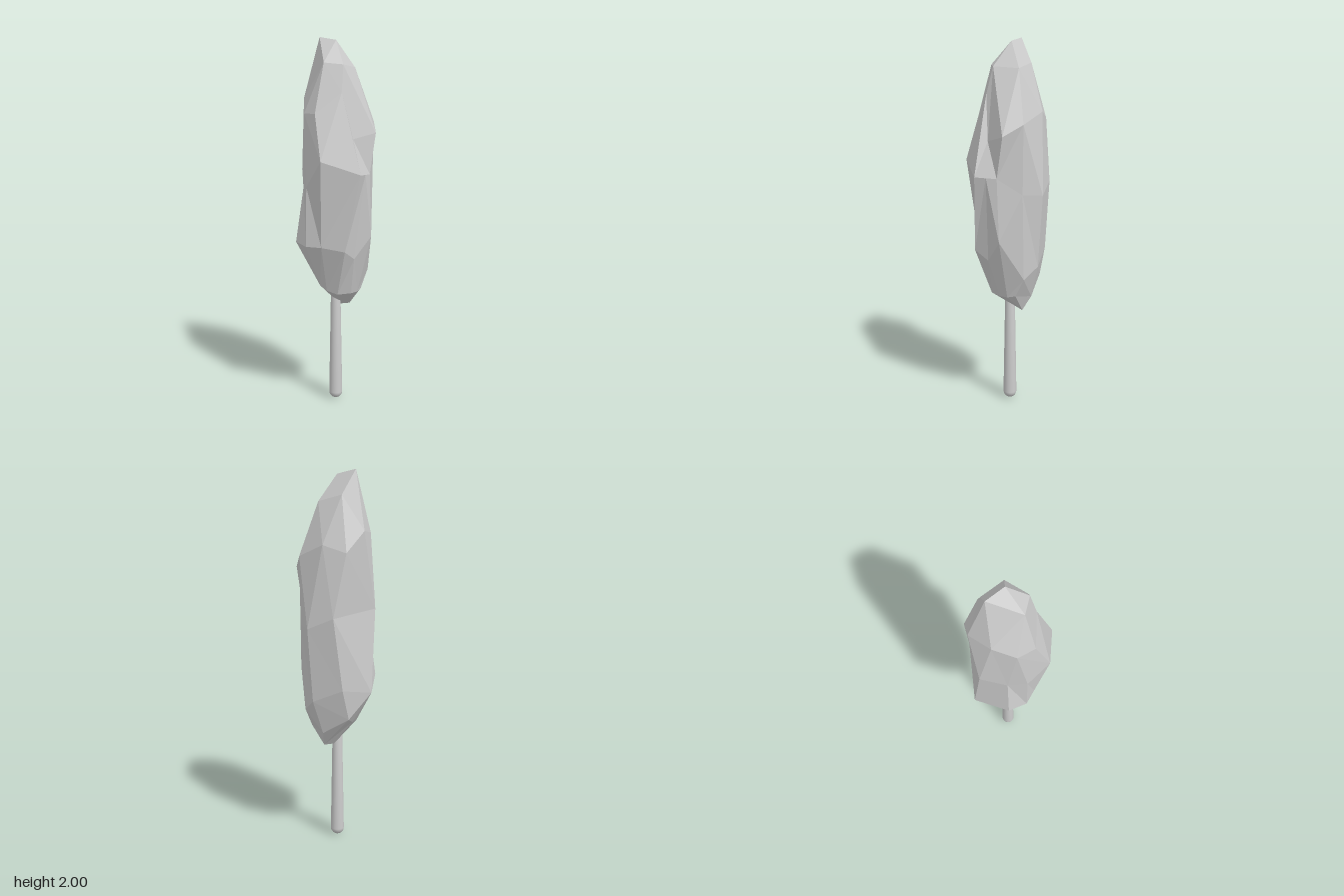
import * as THREE from 'three';

const STICK_Z = -0.02;
const v = (x, y, z) => new THREE.Vector3(x, y, z);

// Corners shared by neighbouring profiles: top ridge, shoulders and bottom keel
const ridgeFront = v(0.005, 1.98, -0.025);
const ridgeBack = v(-0.05, 2, -0.125);
const crown = v(0, 1.85, 0.085);
const shoulderLeft = v(0.105, 1.84, -0.005);
const shoulderBack = v(0.035, 1.87, -0.13);
const shoulderRight = v(-0.09, 1.86, 0.04);
const keelRight = v(0.035, 0.54, -0.045);
const keelLeft = v(0.092, 0.54, -0.04);

// Upright profiles of the faceted fluff, bottom to top, going round from the front towards +x
const profiles = [
  // front ridge, fold beside it, and the face past the fold
  [keelRight, v(-0.03, 0.63, 0.08), v(-0.03, 0.885, 0.185), v(0.04, 1.29, 0.227), v(-0.02, 1.71, 0.115), crown, ridgeFront],
  [keelLeft, v(0.05, 0.63, 0.08), v(0.04, 0.835, 0.145), v(0.085, 1.287, 0.185), v(0.033, 1.47, 0.14), crown, ridgeFront],
  [keelLeft, v(0.095, 0.63, 0.06), v(0.14, 0.95, 0.14), v(0.127, 1.285, 0.145), v(0.165, 1.5, 0.135), shoulderLeft, ridgeFront],
  // left side
  [keelLeft, v(0.13, 0.64, 0.03), v(0.18, 0.74, 0.01), v(0.195, 1.2, 0.03), v(0.2, 1.56, 0.03), shoulderLeft, ridgeFront],
  [keelLeft, v(0.12, 0.62, -0.08), v(0.18, 0.8, -0.08), v(0.213, 1.19, -0.085), v(0.145, 1.62, -0.127), shoulderBack, ridgeBack],
  // back
  [keelLeft, v(0.03, 0.71, -0.2), v(0.07, 0.87, -0.205), v(0.12, 1.25, -0.195), v(0.055, 1.58, -0.215), shoulderBack, ridgeBack],
  [keelRight, v(-0.02, 0.68, -0.15), v(-0.09, 0.85, -0.23), v(-0.13, 1.29, -0.195), v(-0.05, 1.69, -0.215), ridgeBack, ridgeBack],
  // right side
  [keelRight, v(-0.08, 0.67, -0.09), v(-0.214, 0.91, -0.065), v(-0.17, 1.21, -0.06), v(-0.14, 1.68, -0.127), ridgeBack, ridgeBack],
  [keelRight, v(-0.1, 0.67, 0), v(-0.195, 0.9, 0.04), v(-0.19, 1.22, 0.04), v(-0.18, 1.6, -0.015), shoulderRight, ridgeFront],
  [keelRight, v(-0.08, 0.65, 0.05), v(-0.13, 0.9, 0.1), v(-0.156, 1.36, 0.16), v(-0.155, 1.6, 0.08), shoulderRight, ridgeFront],
];

function fluffGeometry() {
  const corners = [];
  const triangle = (a, b, c) => {
    if (a !== b && b !== c && a !== c) corners.push(a, b, c);
  };
  profiles.forEach((left, i) => {
    const right = profiles[(i + 1) % profiles.length];
    for (let j = 0; j < left.length - 1; j++) {
      const [a, b, c, d] = [left[j], right[j], right[j + 1], left[j + 1]];
      // Split each quad along its shorter diagonal
      if (a.distanceTo(c) < b.distanceTo(d)) {
        triangle(a, b, c);
        triangle(a, c, d);
      } else {
        triangle(a, b, d);
        triangle(b, c, d);
      }
    }
  });
  const geometry = new THREE.BufferGeometry().setFromPoints(corners);
  geometry.computeVertexNormals();
  return geometry;
}

// Tapered stick with a rounded lower end
function stickGeometry() {
  const radius = 0.037;
  const profile = [];
  for (let i = 0; i <= 6; i++) {
    const a = (i / 6) * Math.PI / 2;
    profile.push(new THREE.Vector2(radius * Math.sin(a), radius * (1 - Math.cos(a))));
  }
  profile.push(new THREE.Vector2(0.027, 0.6), new THREE.Vector2(0, 0.6));
  return new THREE.LatheGeometry(profile, 20);
}

export function createModel() {
  const group = new THREE.Group();
  group.name = 'cottonCandy';

  const fluff = new THREE.Mesh(fluffGeometry(),
    new THREE.MeshStandardMaterial({ color: 0xcccccc, flatShading: true }));
  fluff.name = 'spunSugar';

  const stick = new THREE.Mesh(stickGeometry(),
    new THREE.MeshStandardMaterial({ color: 0xcccccc }));
  stick.name = 'stick';
  stick.position.z = STICK_Z;

  group.add(fluff, stick);
  return group;
}
